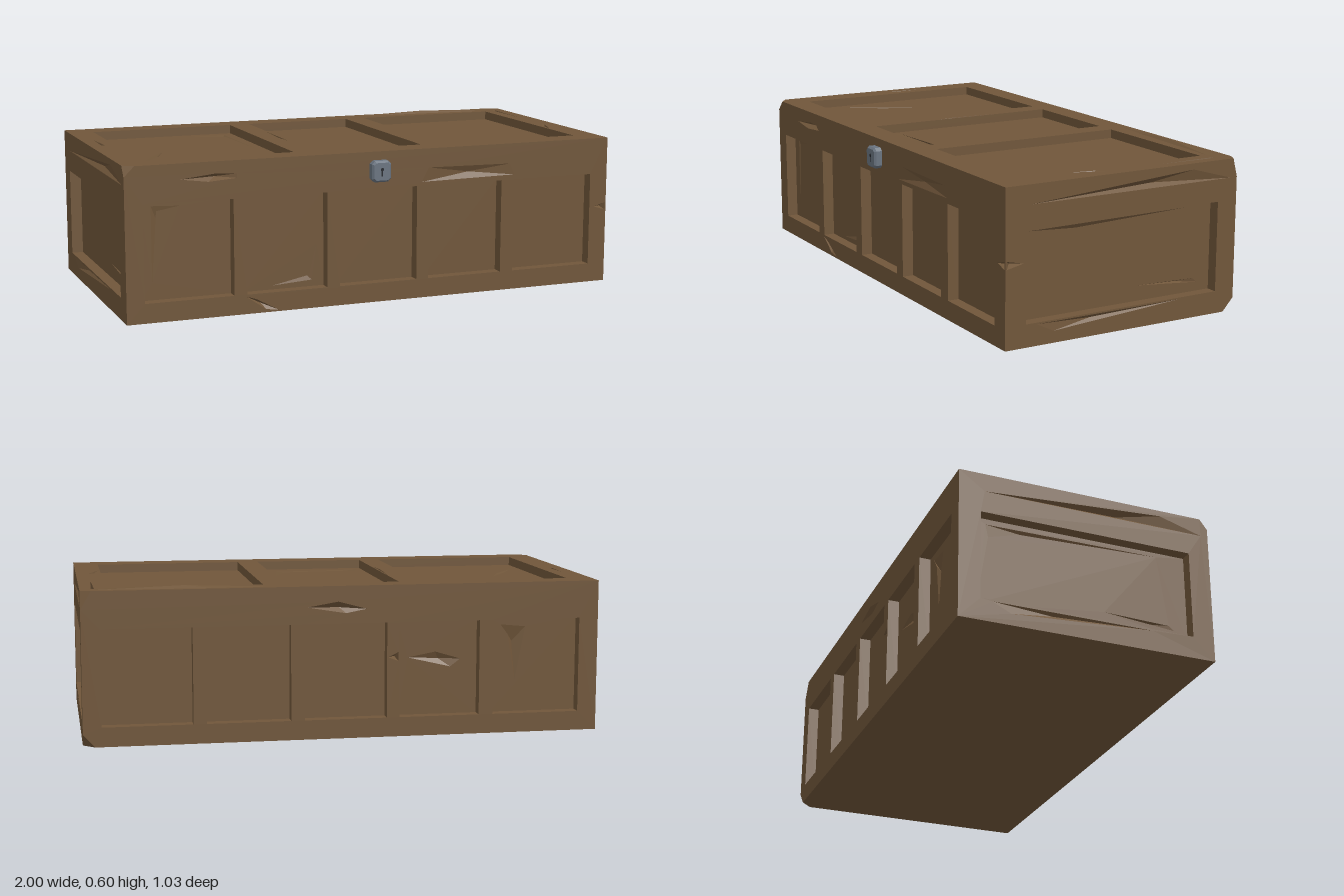
import * as THREE from 'three';

const wood = new THREE.MeshStandardMaterial({ name: 'brown wood', color: 0x70563a });
const steel = new THREE.MeshStandardMaterial({ name: 'grey steel', color: 0x6a7480 });
const dark = new THREE.MeshStandardMaterial({ name: 'dark keyhole', color: 0x25282d });

const W = 1, H = 0.59, D = 0.499, MID_Z = -0.016; // half width, height, half depth, body centre

const vec = (pts) => {
  const list = pts.map(([x, y]) => new THREE.Vector2(x, y));
  return THREE.ShapeUtils.isClockWise(list) ? list.reverse() : list;
};
const rect = ([x0, x1, y0, y1]) => [[x0, y0], [x1, y0], [x1, y1], [x0, y1]];
const inside = ([x, y], [x0, x1, y0, y1]) => x > x0 && x < x1 && y > y0 && y < y1;

// rectangle whose corners may be cut: cuts are [du, dv] at bl, br, tr, tl
function cutRect([x0, x1, y0, y1], { bl, br, tr, tl } = {}) {
  const out = [];
  if (bl) out.push([x0, y0 + bl[1]], [x0 + bl[0], y0]); else out.push([x0, y0]);
  if (br) out.push([x1 - br[0], y0], [x1, y0 + br[1]]); else out.push([x1, y0]);
  if (tr) out.push([x1, y1 - tr[1]], [x1 - tr[0], y1]); else out.push([x1, y1]);
  if (tl) out.push([x0 + tl[0], y1], [x0, y1 - tl[1]]); else out.push([x0, y1]);
  return out;
}

// flat polygon with holes, added at height z
function addFlat(pos, outline, holes, z) {
  const shape = new THREE.Shape(vec(outline));
  holes.forEach((h) => shape.holes.push(new THREE.Path(vec(h))));
  const p = new THREE.ShapeGeometry(shape).toNonIndexed().attributes.position;
  for (let i = 0; i < p.count; i++) pos.push(p.getX(i), p.getY(i), z);
}

// carved gouge (positive depth) or raised splinter (negative depth)
function addDent(pos, { pts, depth }, z) {
  const loop = vec(pts);
  const c = loop.reduce((s, p) => s.add(p), new THREE.Vector2()).divideScalar(loop.length);
  loop.forEach((a, i) => {
    const b = loop[(i + 1) % loop.length];
    pos.push(a.x, a.y, z, b.x, b.y, z, c.x, c.y, z - depth);
  });
}

// one chest face: frame, recessed panels and gouges, facing local +z
function makeFace(name, { size, cuts, panels = [], recess = 0.045, dents = [] }) {
  const pos = [];
  const onFrame = dents.filter((d) => !panels.some((p) => inside(d.pts[0], p)));
  addFlat(pos, cutRect(size, cuts), [...panels.map(rect), ...onFrame.map((d) => d.pts)], 0);
  onFrame.forEach((d) => addDent(pos, d, 0));
  panels.forEach((p) => {
    const loop = rect(p);
    const own = dents.filter((d) => inside(d.pts[0], p));
    addFlat(pos, loop, own.map((d) => d.pts), -recess);
    own.forEach((d) => addDent(pos, d, -recess));
    loop.forEach((a, i) => {
      const b = loop[(i + 1) % 4];
      pos.push(...a, 0, ...b, -recess, ...a, -recess, ...a, 0, ...b, 0, ...b, -recess);
    });
  });
  return meshFrom(name, pos);
}

function meshFrom(name, pos) {
  const g = new THREE.BufferGeometry();
  g.setAttribute('position', new THREE.Float32BufferAttribute(pos, 3));
  g.computeVertexNormals();
  const m = new THREE.Mesh(g, wood);
  m.name = name;
  return m;
}

// broken corner closing the three cut faces
function makeChip(sx, top, sz, [cx, cy, cz]) {
  const x = sx * W, y = top ? H : 0, z = sz * D, sy = top ? 1 : -1;
  const a = [x - sx * cx, y, z], b = [x, y - sy * cy, z], c = [x, y, z - sz * cz];
  return meshFrom('chippedCorner', sx * sy * sz > 0 ? [...a, ...b, ...c] : [...a, ...c, ...b]);
}

const dent = (depth, ...pts) => ({ depth, pts });

function makeLock() {
  const lock = new THREE.Group();
  lock.name = 'lock';
  const plate = new THREE.Shape(vec(cutRect([-0.032, 0.032, -0.034, 0.034],
    { bl: [0.008, 0.008], br: [0.008, 0.008], tr: [0.008, 0.008], tl: [0.008, 0.008] })));
  const body = new THREE.Mesh(new THREE.ExtrudeGeometry(plate,
    { depth: 0.03, bevelThickness: 0.008, bevelSize: 0.007, bevelSegments: 1 }), steel);
  body.name = 'lockBody';
  body.position.z = -0.006;
  const hole = new THREE.Mesh(new THREE.CircleGeometry(0.007, 8), dark);
  hole.name = 'keyholeTop';
  hole.position.set(0, 0.008, 0.0325);
  const slot = new THREE.Mesh(new THREE.PlaneGeometry(0.006, 0.026), dark);
  slot.name = 'keyholeSlot';
  slot.position.set(0, -0.006, 0.0325);
  lock.add(body, hole, slot);
  lock.position.set(0, 0.516, 0.483);
  return lock;
}

export function createModel() {
  const model = new THREE.Group();
  model.name = 'chest';
  const body = new THREE.Group();
  body.name = 'chestBody';
  body.position.z = MID_Z;

  const five = [[-0.93, -0.585], [-0.535, -0.212], [-0.16, 0.16], [0.21, 0.525], [0.58, 0.925]];
  const longPanels = five.map(([a, b]) => [a, b, 0.075, 0.445]);
  const endPanels = [[-0.415, 0.415, 0.086, 0.432]];
  const long = [-W, W, 0, H], end = [-D, D, 0, H];
  const chipA = [0.045, 0.05, 0.045], chipB = [0.04, 0.04, 0.03], chipC = [0.04, 0.07, 0.018];

  const front = makeFace('frontFace', {
    size: long, panels: longPanels, cuts: { tl: [chipB[0], chipB[1]] },
    dents: [
      dent(0.025, [-0.79, 0.53], [-0.68, 0.515], [-0.57, 0.523], [-0.57, 0.54], [-0.65, 0.545]),
      dent(0.012, [0.18, 0.46], [0.58, 0.465], [0.56, 0.51], [0.21, 0.515]),
      dent(0.015, [-0.54, 0.068], [-0.5, 0.055], [-0.41, 0.006], [-0.46, 0.012]),
      dent(0.012, [-0.89, 0.43], [-0.78, 0.425], [-0.87, 0.41], [-0.89, 0.14]),
      dent(0.012, [-0.42, 0.09], [-0.26, 0.1], [-0.24, 0.24], [-0.27, 0.12]),
      dent(0.02, [0.945, 0.31], [0.995, 0.295], [0.995, 0.325]),
    ],
  });
  front.position.z = D;

  const back = makeFace('backFace', {
    size: long, panels: longPanels,
    cuts: { bl: [chipA[0], chipA[1]], tl: [chipC[0], chipC[1]] },
    dents: [
      dent(0.02, [-0.15, 0.51], [0.0, 0.485], [0.08, 0.5], [-0.03, 0.53]),
      dent(0.025, [0.165, 0.31], [0.205, 0.295], [0.205, 0.33]),
      dent(0.012, [0.25, 0.3], [0.42, 0.26], [0.46, 0.29], [0.36, 0.32]),
      dent(0.012, [0.62, 0.42], [0.72, 0.41], [0.68, 0.2], [0.65, 0.38]),
    ],
  });
  back.position.z = -D;
  back.rotation.y = Math.PI;

  const endDents = [
    dent(0.02, [-0.4, 0.518], [0.47, 0.518], [0.3, 0.567]),
    dent(0.012, [-0.38, 0.41], [-0.37, 0.36], [-0.25, 0.395], [0.3, 0.415]),
    dent(0.012, [0.08, 0.145], [0.36, 0.12], [0.34, 0.137]),
    dent(0.01, [-0.37, 0.08], [-0.3, 0.045], [0.25, 0.08]),
  ];
  const right = makeFace('rightEnd', {
    size: end, panels: endPanels, cuts: { br: [chipA[2], chipA[1]], tr: [chipC[2], chipC[1]] },
    dents: [...endDents, dent(0.025, [-0.494, 0.295], [-0.425, 0.31], [-0.494, 0.325])],
  });
  right.position.x = W;
  right.rotation.y = Math.PI / 2;

  const left = makeFace('leftEnd', {
    size: end, panels: endPanels, cuts: { tr: [chipB[2], chipB[1]] }, dents: endDents,
  });
  left.position.x = -W;
  left.rotation.y = -Math.PI / 2;

  const top = makeFace('lidTop', {
    size: [-W, W, -D, D], recess: 0.035,
    panels: [[-0.9, -0.31], [-0.225, 0.22], [0.305, 0.9]].map(([a, b]) => [a, b, -0.396, 0.402]),
    cuts: { bl: [chipB[0], chipB[2]], tr: [chipC[0], chipC[2]] },
    dents: [
      dent(-0.011, [0.28, 0.47], [0.5, 0.485], [0.95, 0.465], [0.9, 0.43], [0.42, 0.455]),
      dent(0.015, [0.945, 0.43], [0.96, 0.43], [0.95, 0.18]),
      dent(0.015, [0.905, -0.19], [0.95, -0.06], [0.925, -0.08]),
      dent(0.012, [-0.95, 0.18], [-0.94, 0.02], [-0.955, 0.04]),
      dent(0.012, [-0.86, -0.24], [-0.8, -0.12], [-0.71, 0.02], [-0.76, -0.1]),
      dent(0.015, [-0.51, 0.37], [-0.35, 0.36], [-0.345, -0.05], [-0.36, 0.3]),
      dent(0.01, [-0.2, -0.34], [0.15, -0.31], [0.18, -0.14], [0.12, -0.28], [-0.19, -0.3]),
      dent(0.02, [-0.24, -0.03], [-0.232, -0.11], [-0.23, 0.17]),
    ],
  });
  top.position.y = H;
  top.rotation.x = -Math.PI / 2;

  const bottom = makeFace('bottom', { size: [-W, W, -D, D], cuts: { bl: null, br: [chipA[0], chipA[2]] } });
  bottom.rotation.x = Math.PI / 2;

  body.add(front, back, right, left, top, bottom,
    makeChip(1, false, -1, chipA), makeChip(-1, true, 1, chipB), makeChip(1, true, -1, chipC));
  model.add(body, makeLock());
  return model;
}
